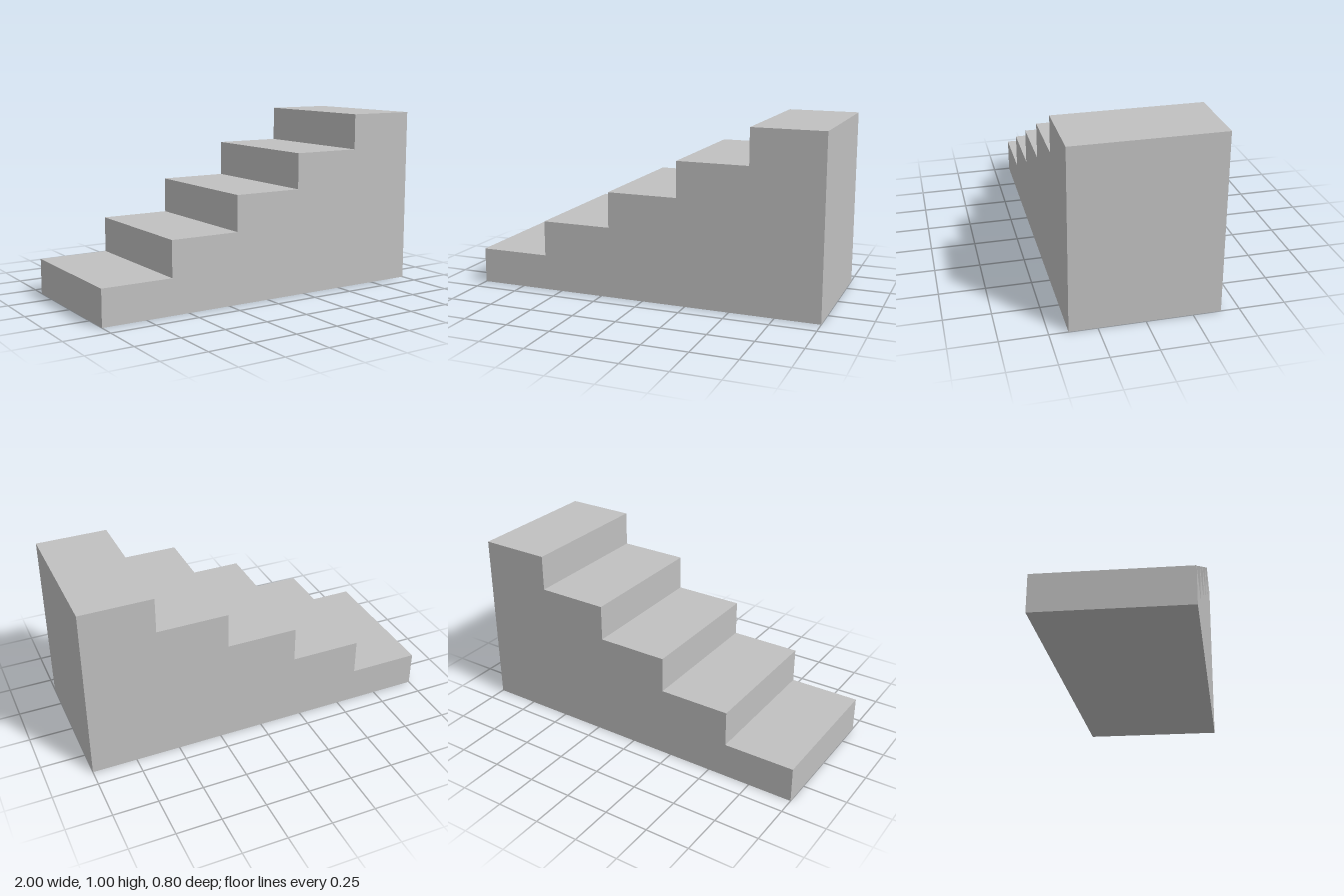
import * as THREE from 'three';

const STEPS = 5, TREAD = 0.4, RISE = 0.2, DEPTH = 0.8;

export function createModel() {
  const group = new THREE.Group();
  group.name = 'staircase';

  const stone = new THREE.MeshStandardMaterial({ color: 0xc0c0c0 });
  stone.name = 'light grey';

  // Stepped side profile, rising towards +x
  const half = (STEPS * TREAD) / 2;
  const profile = new THREE.Shape();
  profile.moveTo(-half, 0);
  profile.lineTo(half, 0);
  for (let i = STEPS; i > 0; i--) {
    profile.lineTo(-half + i * TREAD, i * RISE);
    profile.lineTo(-half + (i - 1) * TREAD, i * RISE);
  }
  profile.closePath();

  // One solid block of steps, centred in depth
  const geometry = new THREE.ExtrudeGeometry(profile, { depth: DEPTH, bevelEnabled: false });
  geometry.translate(0, 0, -DEPTH / 2);

  const steps = new THREE.Mesh(geometry, stone);
  steps.name = 'steps';
  group.add(steps);
  return group;
}
